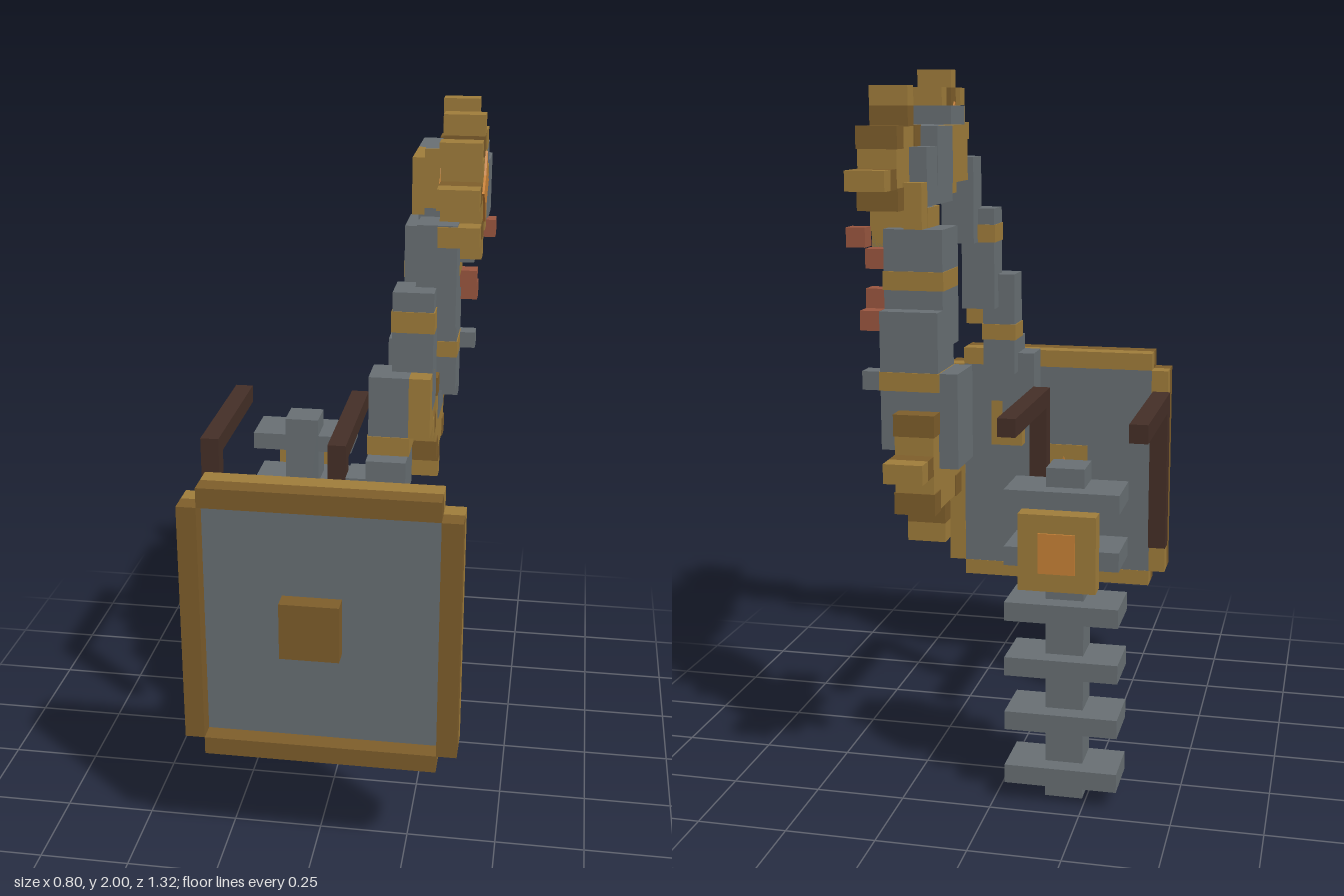
import * as THREE from 'three';

const U = 0.0526; // one block
const mat = (name, color) => new THREE.MeshStandardMaterial({ name, color });

export function createModel() {
  const model = new THREE.Group();
  model.name = 'brokenAutomaton';
  const grey = mat('stone grey', 0x697074);
  const gold = mat('gold', 0xa07d3b);
  const dark = mat('dark gold', 0x7e5e2b);
  const brown = mat('dark leather', 0x452f27);
  const red = mat('red', 0x9b5740);
  const orange = mat('orange', 0xc98237);

  const group = (name) => {
    const g = new THREE.Group();
    g.name = name;
    model.add(g);
    return g;
  };
  // Box given by its limits on each axis
  const box = (parent, name, m, x0, x1, y0, y1, z0, z1) => {
    const mesh = new THREE.Mesh(new THREE.BoxGeometry(x1 - x0, y1 - y0, z1 - z0), m);
    mesh.position.set((x0 + x1) / 2, (y0 + y1) / 2, (z0 + z1) / 2);
    mesh.name = name;
    parent.add(mesh);
    return mesh;
  };
  // Flat pointed emblem lying in the xy plane
  const emblem = (r, inner, points, depth) => {
    const pts = [];
    for (let i = 0; i < points * 2; i++) {
      const a = (i / points) * Math.PI, q = i % 2 ? inner : r;
      pts.push(new THREE.Vector2(Math.sin(a) * q, Math.cos(a) * q));
    }
    return new THREE.ExtrudeGeometry(new THREE.Shape(pts), { depth, bevelEnabled: false });
  };

  // Framed slab: gold rear layer, darker front layer
  const slab = group('framedSlab');
  box(slab, 'panel', grey, -0.29, 0.34, 0.37, 1.05, 0.551, 0.608);
  box(slab, 'boss', dark, -0.08, 0.08, 0.63, 0.79, 0.6, 0.66);
  [[gold, 0.55, 0.605], [dark, 0.605, 0.66]].forEach(([m, z0, z1]) => {
    box(slab, 'leftRail', m, 0.34, 0.395, 0.37, 1.05, z0, z1);
    box(slab, 'rightRail', m, -0.343, -0.29, 0.37, 1.05, z0, z1);
    box(slab, 'topRail', m, -0.29, 0.34, 1.05, 1.105, z0, z1);
    box(slab, 'bottomRail', m, -0.29, 0.34, 0.32, 0.37, z0, z1);
  });
  box(slab, 'rearPatch', gold, -0.08, 0.08, 0.63, 0.79, 0.547, 0.552);
  const mark = new THREE.Mesh(emblem(0.04, 0.018, 4, 0.004), orange);
  mark.position.set(0, 0.71, 0.544);
  mark.name = 'rearMark';
  slab.add(mark);

  // Spine with six rib plates
  const spine = group('spine');
  box(spine, 'column', grey, -0.24, -0.135, 0, 18 * U, -0.395, -0.29);
  for (let i = 0; i < 6; i++) {
    const y = (1 + 3 * i) * U;
    box(spine, 'rib', grey, -0.343, -0.03, y, y + U, -0.447, -0.29);
  }
  box(spine, 'backPlate', gold, -0.29, -0.08, 0.635, 0.845, -0.5, -0.445);
  box(spine, 'backPlateGlow', orange, -0.235, -0.135, 0.685, 0.795, -0.505, -0.5);

  // Two bent straps
  for (const x of [-0.395, -0.027]) {
    const strap = group('strap');
    box(strap, 'strapTop', brown, x, x + U, 1, 1.053, -0.29, 0.184);
    box(strap, 'strapDrop', brown, x, x + U, 0.58, 1, 0.131, 0.184);
  }

  // Sun-shaped joint: square core, two-block spikes, optional corner blocks
  const sun = (name, x0, cz, cy, size, shift, corners) => {
    const g = group(name), x1 = x0 + 2 * U, h = (size * U) / 2, s = U / 2;
    box(g, 'core', gold, x0, x1, cy - h, cy + h, cz - h, cz + h);
    const sz = cz + shift, sy = cy - shift;
    for (const d of [-1, 1]) {
      for (const [m, k] of [[dark, 0.5], [gold, 1.5]]) {
        const o = d * (h + k * U);
        box(g, 'spike', m, x0, x1, cy + o - s, cy + o + s, sz - s, sz + s);
        box(g, 'spike', m, x0, x1, sy - s, sy + s, cz + o - s, cz + o + s);
      }
      for (const e of [-1, 1]) {
        // corner blocks stick out, or darken the corners of a larger core
        const c = corners ? h + s : h - s, p = corners ? 0 : 0.003;
        const y = cy + d * c, z = cz + e * c;
        box(g, 'corner', corners ? gold : dark, x0 - p, x1 + p, y - s - p, y + s + p, z - s - p, z + s + p);
      }
    }
    return g;
  };
  const front = sun('frontSun', 0.29, 0.263, 1.816, 3, 0, true);
  const rear = sun('rearSun', 0.235, -0.395, 1.738, 4, U / 2, false);
  sun('handSun', 0.132, -0.421, 0.974, 5, 0, false);
  box(rear, 'lowerCorner', gold, 0.235, 0.34, 1.58, 1.633, -0.29, -0.237);
  const star = new THREE.Mesh(emblem(0.09, 0.05, 4, 0.116), orange);
  star.rotation.y = Math.PI / 2;
  star.position.set(0.285, 1.816, 0.263);
  star.name = 'sunEmblem';
  front.add(star);

  // Beam joining the two upper suns
  const beam = group('shoulderBeam');
  box(beam, 'frontBlock', grey, 0.235, 0.392, 1.688, 1.895, 0.03, 0.184);
  box(beam, 'frontCap', gold, 0.235, 0.392, 1.74, 1.895, 0.184, 0.19);
  box(beam, 'frontBeam', grey, 0.235, 0.395, 1.685, 1.842, -0.08, 0.03);
  box(beam, 'band', gold, 0.185, 0.34, 1.685, 1.842, -0.137, 0.025);
  box(beam, 'rearBeam', grey, 0.185, 0.34, 1.685, 1.842, -0.29, -0.137);
  box(beam, 'rearBlock', grey, 0.187, 0.345, 1.635, 1.79, -0.39, -0.135);

  // Front arm, stepping down toward the slab
  const armF = group('frontArm');
  box(armF, 'upper', grey, 0.237, 0.34, 1.475, 1.74, 0.29, 0.39);
  box(armF, 'middle', grey, 0.185, 0.29, 1.265, 1.58, 0.343, 0.447);
  box(armF, 'middleBand', gold, 0.182, 0.293, 1.475, 1.53, 0.34, 0.45);
  box(armF, 'elbowGuard', gold, 0.235, 0.29, 1.21, 1.37, 0.395, 0.5);
  box(armF, 'forearm', grey, 0.132, 0.235, 1.05, 1.37, 0.395, 0.5);
  box(armF, 'forearmBand', gold, 0.129, 0.238, 1.16, 1.21, 0.392, 0.503);
  box(armF, 'wrist', grey, 0.132, 0.235, 0.95, 1.16, 0.447, 0.55);
  box(armF, 'fist', grey, 0.08, 0.185, 0.9, 1.11, 0.447, 0.549);
  box(armF, 'finger', gold, 0.132, 0.235, 0.79, 0.95, 0.5, 0.55);

  // Rear arm
  const armR = group('rearArm');
  box(armR, 'shoulder', grey, 0.185, 0.34, 1.475, 1.633, -0.395, -0.29);
  box(armR, 'shoulderTrim', gold, 0.183, 0.343, 1.57, 1.633, -0.398, -0.287);
  box(armR, 'shoulderCap', gold, 0.185, 0.235, 1.58, 1.7, -0.45, -0.395);
  box(armR, 'upper', grey, 0.132, 0.292, 1.265, 1.58, -0.447, -0.29);
  box(armR, 'upperBand', gold, 0.129, 0.295, 1.42, 1.47, -0.45, -0.3);
  box(armR, 'forearm', grey, 0.132, 0.29, 1.05, 1.37, -0.5, -0.343);
  box(armR, 'forearmBand', gold, 0.129, 0.293, 1.16, 1.21, -0.503, -0.34);
  box(armR, 'hand', grey, 0.08, 0.24, 0.955, 1.21, -0.498, -0.345);
  box(armR, 'stud', grey, 0.29, 0.34, 1.16, 1.21, -0.5, -0.447);
  box(armR, 'stud', grey, 0.24, 0.29, 1.0, 1.053, -0.5, -0.447);

  // Red blocks on the rear arm: x, y, z of the low corner
  [[0.342, 1.53, -0.447], [0.29, 1.475, -0.447], [0.29, 1.37, -0.447], [0.29, 1.318, -0.5]].forEach(
    ([x, y, z]) => box(armR, 'redBlock', red, x, x + U, y, y + U, z, z + U)
  );
  return model;
}
